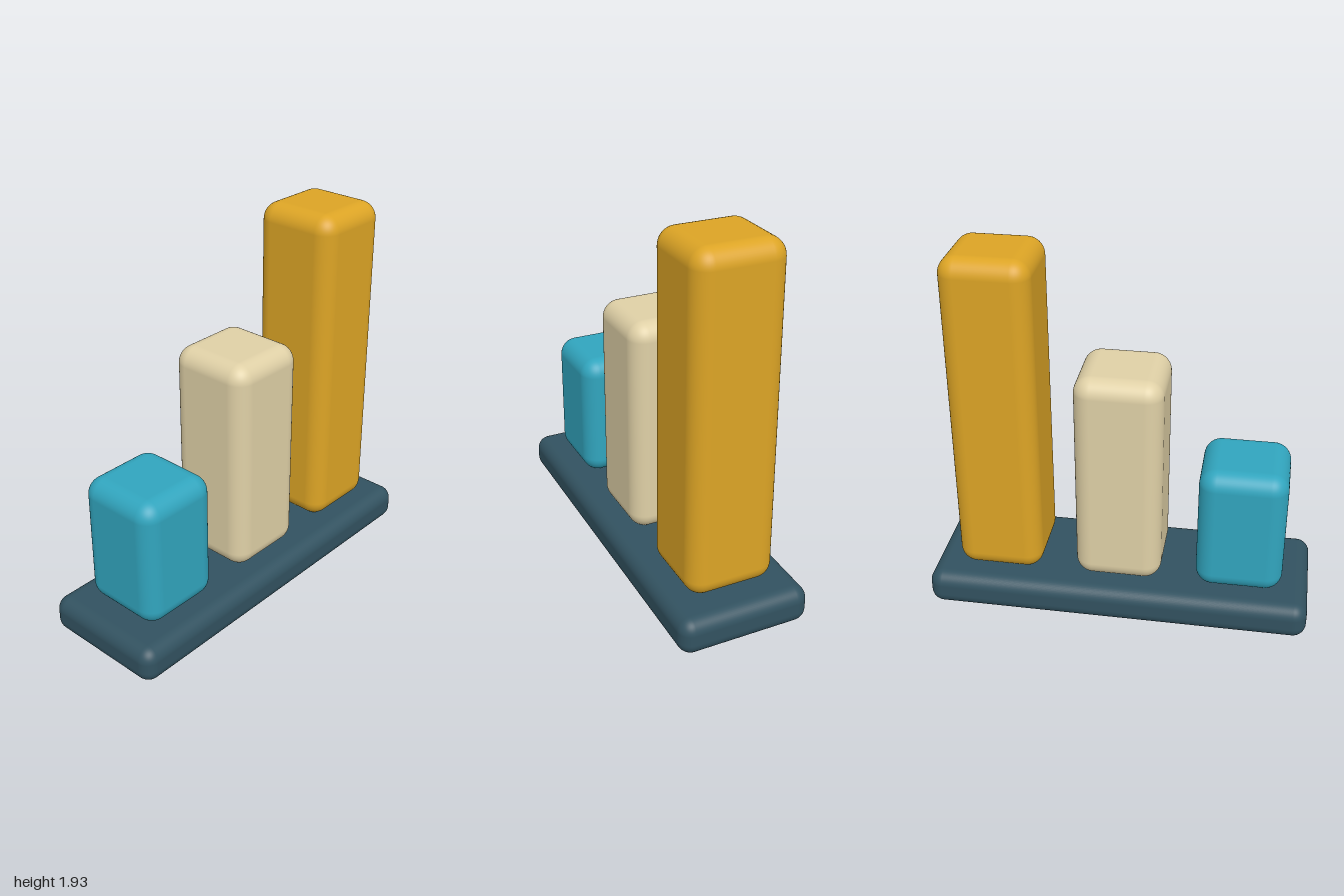
import * as THREE from 'three';
import { RoundedBoxGeometry } from 'three/addons/geometries/RoundedBoxGeometry.js';

function material(name, color) {
  const m = new THREE.MeshStandardMaterial({ color });
  m.name = name;
  return m;
}

// Rounded block standing on height y
function block(name, w, h, d, radius, x, y, mat) {
  const mesh = new THREE.Mesh(new RoundedBoxGeometry(w, h, d, 6, radius), mat);
  mesh.name = name;
  mesh.position.set(x, y + h / 2, 0);
  return mesh;
}

export function createModel() {
  const group = new THREE.Group();
  group.name = 'barChart';

  // Base slab
  const baseHeight = 0.192;
  group.add(block('base', 2, baseHeight, 0.685, 0.07, 0, 0, material('slate', 0x325260)));

  // Three bars rising from left to right across the front
  const bars = [
    ['shortBar', -0.633, 0.88, material('teal', 0x31a5be)],
    ['middleBar', 0, 1.35, material('cream', 0xdfd0a6)],
    ['tallBar', 0.633, 1.93, material('gold', 0xdca425)],
  ];
  for (const [name, x, top, mat] of bars) {
    group.add(block(name, 0.45, top - baseHeight, 0.46, 0.09, x, baseHeight, mat));
  }
  return group;
}
